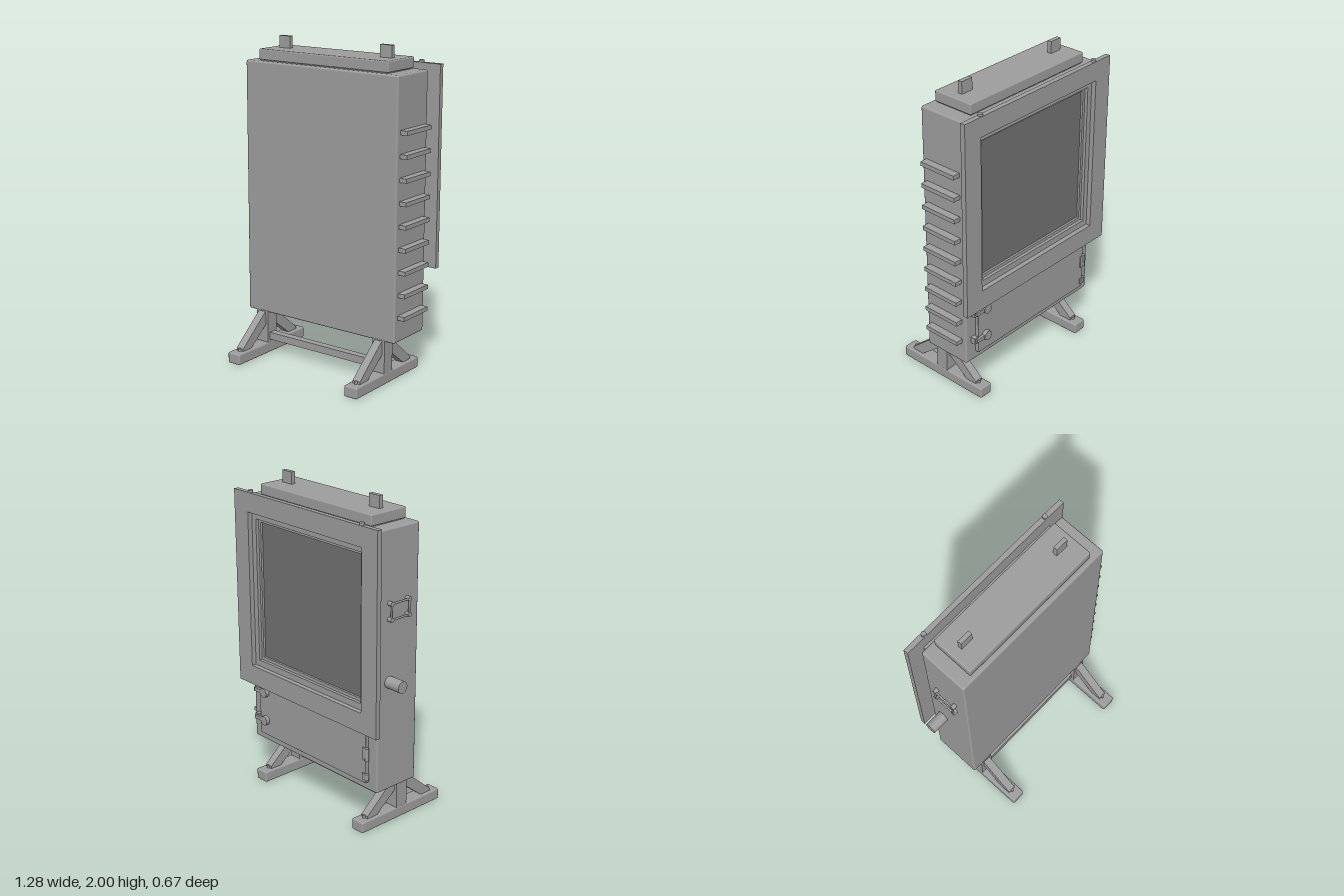
import * as THREE from 'three';
import { RoundedBoxGeometry } from 'three/addons/geometries/RoundedBoxGeometry.js';

export function createModel() {
  const model = new THREE.Group();
  const steel = new THREE.MeshStandardMaterial({ color: 0x9d9d9d });
  steel.name = 'grey steel';
  const glass = new THREE.MeshStandardMaterial({ color: 0x717171 });
  glass.name = 'dark glass';

  const add = (name, geometry, material = steel) => {
    const mesh = new THREE.Mesh(geometry, material);
    mesh.name = name;
    model.add(mesh);
    return mesh;
  };
  // Box given by its limits on each axis; a radius rounds the edges
  const box = (name, [x0, x1], [y0, y1], [z0, z1], radius = 0, material = steel) => {
    const size = [x1 - x0, y1 - y0, z1 - z0];
    const geometry = radius ? new RoundedBoxGeometry(...size, 2, radius) : new THREE.BoxGeometry(...size);
    geometry.translate((x0 + x1) / 2, (y0 + y1) / 2, (z0 + z1) / 2);
    return add(name, geometry, material);
  };
  const rod = (name, axis, radius, length, x, y, z) => {
    const geometry = new THREE.CylinderGeometry(radius, radius, length, 24);
    if (axis === 'x') geometry.rotateZ(Math.PI / 2);
    if (axis === 'z') geometry.rotateX(Math.PI / 2);
    return add(name, geometry.translate(x, y, z));
  };
  // Rectangular ring in the xy plane
  const ring = (name, [x0, x1], [y0, y1], [hx0, hx1], [hy0, hy1], [z0, z1]) => {
    const rect = (C, a, b, c, d) => new C([[a, c], [b, c], [b, d], [a, d]].map(p => new THREE.Vector2(...p)));
    const shape = rect(THREE.Shape, x0, x1, y0, y1);
    shape.holes.push(rect(THREE.Path, hx0, hx1, hy0, hy1));
    const geometry = new THREE.ExtrudeGeometry(shape, { depth: z1 - z0, bevelEnabled: false });
    return add(name, geometry.translate(0, 0, z0));
  };

  // Cabinet, lid and lifting lugs
  box('cabinet', [-0.53, 0.58], [0.27, 1.855], [-0.268, 0.045], 0.012);
  box('lid', [-0.449, 0.497], [1.86, 1.926], [-0.248, 0.019], 0.008);
  box('lidSeat', [-0.44, 0.488], [1.85, 1.865], [-0.24, 0.01]);
  for (const x of [-0.345, 0.396])
    box('liftingLug', [x - 0.041, x + 0.041], [1.92, 2], [-0.128, -0.101]);

  // Cooling fins on the left side
  for (let i = 0; i < 9; i++) {
    const y = 0.425 + i * 0.1379;
    box('sideFin', [0.575, 0.627], [y - 0.013, y + 0.013], [-0.238, 0.013]);
  }

  // Window with a stepped surround
  ring('windowFrame', [-0.59, 0.636], [0.66, 1.886], [-0.465, 0.512], [0.785, 1.765], [-0.337, -0.306]);
  ring('middleSurround', [-0.48, 0.522], [0.78, 1.77], [-0.43, 0.475], [0.825, 1.725], [-0.307, -0.286]);
  ring('innerSurround', [-0.44, 0.485], [0.82, 1.73], [-0.412, 0.457], [0.845, 1.705], [-0.287, -0.267]);
  box('windowPane', [-0.42, 0.465], [0.835, 1.715], [-0.273, -0.267], 0, glass);
  for (const x of [-0.453, 0.499]) {
    rod('framePin', 'y', 0.015, 0.03, x, 1.885, -0.321);
    box('frameBracket', [x - 0.006, x + 0.02], [1.74, 1.765], [-0.288, -0.265]);
  }

  // Lower door with hinges and latches
  box('lowerDoor', [-0.46, 0.5], [0.322, 0.717], [-0.292, -0.265], 0.004);
  for (const [y, length] of [[0.66, 0.04], [0.51, 0.08], [0.365, 0.04]]) {
    rod('hingeKnuckle', 'y', 0.012, length, -0.468, y, -0.29);
    box('hingeLeaf', [-0.468, -0.435], [y - length / 2, y + length / 2], [-0.298, -0.28]);
  }
  for (const y of [0.615, 0.425]) {
    rod('latchKnob', 'z', 0.03, 0.025, 0.44, y, -0.304);
    box('latchBar', [0.44, 0.53], [y - 0.012, y + 0.012], [-0.312, -0.294]);
    box('latchCatch', [0.51, 0.54], [y - 0.02, y + 0.02], [-0.3, -0.265]);
  }

  // Side spout and pull handle
  rod('sideSpout', 'x', 0.036, 0.112, -0.584, 0.953, -0.179);
  for (const y of [1.333, 1.427]) {
    for (const z of [-0.185, -0.047]) rod('handleFoot', 'x', 0.014, 0.03, -0.543, y, z);
    rod('handleBar', 'z', 0.006, 0.138, -0.551, y, -0.116);
  }
  for (const z of [-0.185, -0.047]) rod('handleUpright', 'y', 0.006, 0.094, -0.551, 1.38, z);

  // Stand: feet, posts, diagonal braces and crossbar
  const braceShape = new THREE.Shape([[0.035, 0.19], [0.192, 0.065], [0.265, 0.065], [0.265, 0.085], [0.045, 0.272], [0.035, 0.272]]
    .map(p => new THREE.Vector2(...p)));
  for (const x of [-0.421, 0.469]) {
    box('foot', [x - 0.046, x + 0.046], [0, 0.07], [-0.322, 0.33], 0.01);
    box('post', [x - 0.044, x + 0.044], [0.06, 0.28], [-0.038, 0.046]);
    for (const side of [-1, 1]) {
      const geometry = new THREE.ExtrudeGeometry(braceShape, { depth: 0.052, bevelEnabled: false });
      geometry.translate(0, 0, -0.026).rotateY(-side * Math.PI / 2).translate(x, 0, 0.004);
      add('brace', geometry);
      rod('footBolt', 'y', 0.009, 0.02, x, 0.077, 0.004 + side * 0.268);
    }
  }
  box('crossbar', [-0.38, 0.428], [0.085, 0.132], [-0.02, 0.028]);

  return model;
}
